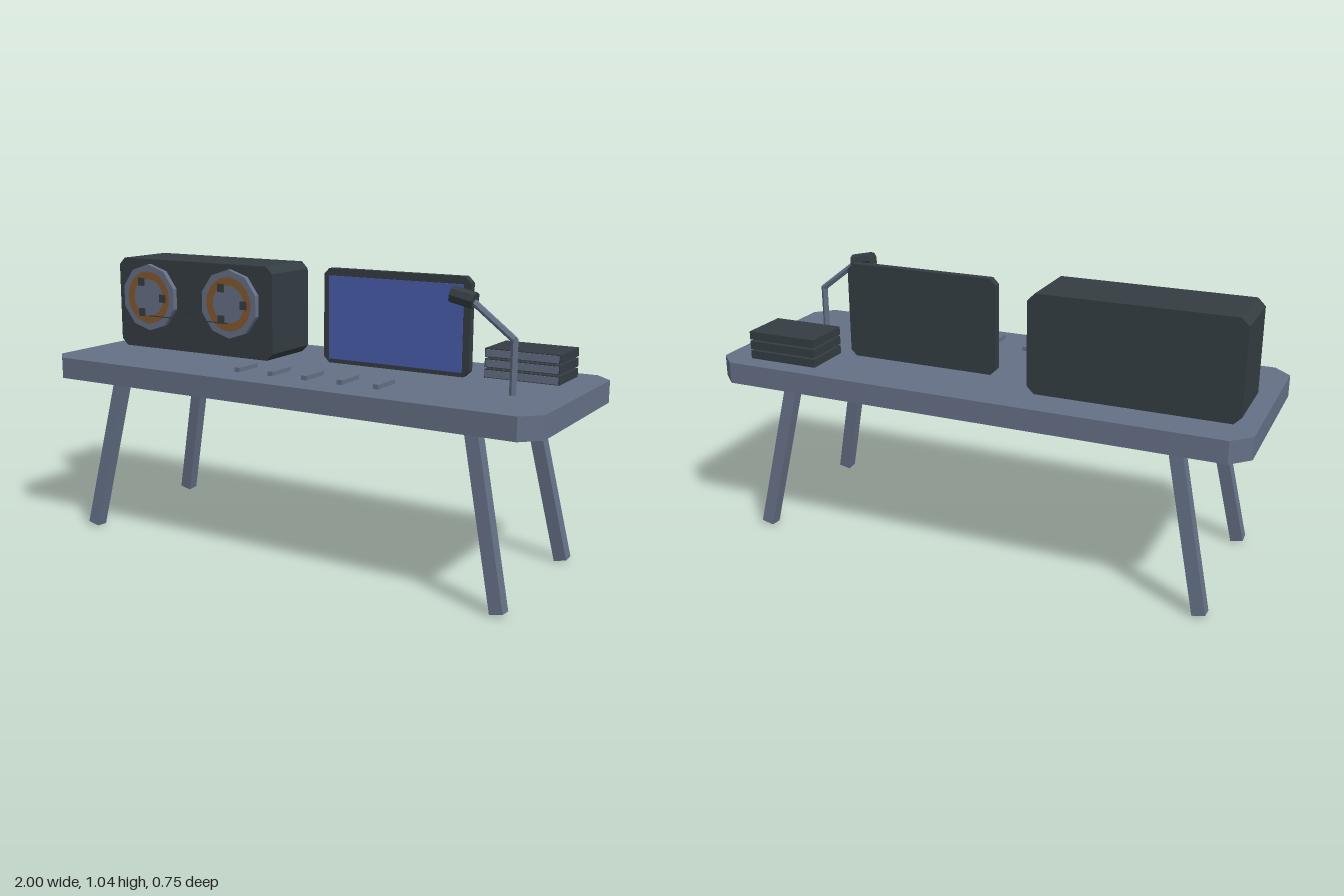
import * as THREE from 'three';

const mat = (name, color, extra = {}) => {
  const m = new THREE.MeshStandardMaterial({ color, ...extra });
  m.name = name;
  return m;
};

export function createModel() {
  const root = new THREE.Group();
  root.name = 'deskWithTapeRecorder';
  const slate = mat('slate', 0x657086, { flatShading: true });
  const dark = mat('charcoal', 0x343d42, { flatShading: true });
  const blue = mat('screenBlue', 0x4a5eac, { flatShading: true });
  const brown = mat('tapeBrown', 0x83582f, { flatShading: true });

  const add = (name, geo, material, x = 0, y = 0, z = 0, parent = root) => {
    const mesh = new THREE.Mesh(geo, material);
    mesh.name = name;
    mesh.position.set(x, y, z);
    parent.add(mesh);
    return mesh;
  };
  const box = (name, w, h, d, material, x, y, z, parent) =>
    add(name, new THREE.BoxGeometry(w, h, d), material, x, y, z, parent);

  // Rectangle with cut corners, extruded along z and centred
  const cutSlab = (w, h, d, c) => {
    const a = w / 2, b = h / 2;
    const pts = [[-a + c, -b], [a - c, -b], [a, -b + c], [a, b - c],
      [a - c, b], [-a + c, b], [-a, b - c], [-a, -b + c]];
    const shape = new THREE.Shape(pts.map(([x, y]) => new THREE.Vector2(x, y)));
    return new THREE.ExtrudeGeometry(shape, { depth: d, bevelEnabled: false }).translate(0, 0, -d / 2);
  };

  // Turns a y-aligned geometry so that it runs from one point to another
  const between = (name, geo, material, from, to) => {
    const p = new THREE.Vector3(...from), q = new THREE.Vector3(...to);
    const mesh = add(name, geo(p.distanceTo(q)), material);
    mesh.position.copy(p).add(q).multiplyScalar(0.5);
    mesh.quaternion.setFromUnitVectors(new THREE.Vector3(0, 1, 0), q.sub(p).normalize());
    return mesh;
  };

  // Table top and splayed legs
  add('tableTop', cutSlab(2, 0.75, 0.08, 0.065).rotateX(-Math.PI / 2), slate, 0, 0.645, 0);
  for (const sx of [-1, 1]) for (const sz of [-1, 1]) {
    between('leg', (l) => new THREE.BoxGeometry(0.048, l, 0.046), slate,
      [sx * 0.866, 0.007, sz * 0.294], [sx * 0.733, 0.62, sz * 0.25]);
  }

  // Tape recorder cabinet
  add('recorderCabinet', cutSlab(0.745, 0.357, 0.25, 0.027), dark, -0.57, 0.8635, -0.109);

  // Two reels with a brown tape ring and three square holes each
  for (const x of [-0.77, -0.378]) {
    const reel = new THREE.Group();
    reel.name = 'reel';
    reel.position.set(x, 0.893, 0);
    root.add(reel);
    add('reelDisc', new THREE.CylinderGeometry(0.132, 0.132, 0.021, 10).rotateX(Math.PI / 2),
      slate, 0, 0, 0.0365, reel);
    add('tapeRing', new THREE.RingGeometry(0.073, 0.104, 20), brown, 0, 0, 0.0478, reel);
    for (let i = 0; i < 3; i++) {
      const t = (i * 2 * Math.PI) / 3;
      box('reelHole', 0.032, 0.032, 0.004, dark,
        0.07 * Math.cos(t), 0.07 * Math.sin(t), 0.0468, reel);
    }
  }
  box('tapeStrand', 0.39, 0.004, 0.003, dark, -0.574, 0.82, 0.048);

  // Monitor
  add('monitorCase', cutSlab(0.595, 0.355, 0.03, 0.022), dark, 0.2675, 0.8625, -0.1);
  box('monitorScreen', 0.546, 0.312, 0.004, blue, 0.2655, 0.857, -0.084);

  // Stack of equipment units with pale front plates
  for (let i = 0; i < 3; i++) {
    const y = 0.702 + i * 0.037;
    box('stackUnit', 0.275, 0.031, 0.186, dark, 0.7475, y, -0.212);
    box('stackFrontPlate', 0.267, 0.025, 0.004, slate, 0.7475, y, -0.1175);
  }

  // Microphone on a bent stand
  const rod = (l) => new THREE.CylinderGeometry(0.012, 0.012, l, 6);
  between('standPole', rod, slate, [0.807, 0.68, 0.101], [0.807, 0.873, 0.101]);
  between('standArm', rod, slate, [0.807, 0.868, 0.101], [0.65, 0.988, 0.101]);
  between('microphone', (l) => new THREE.CylinderGeometry(0.029, 0.029, l, 8), dark,
    [0.665, 0.985, 0.101], [0.581, 1.003, 0.101]);

  // Row of slider bars on the table
  for (let i = 0; i < 5; i++) {
    box('sliderBar', 0.022, 0.016, 0.115, slate, -0.17 + i * 0.1415, 0.7, 0.224);
  }

  return root;
}
